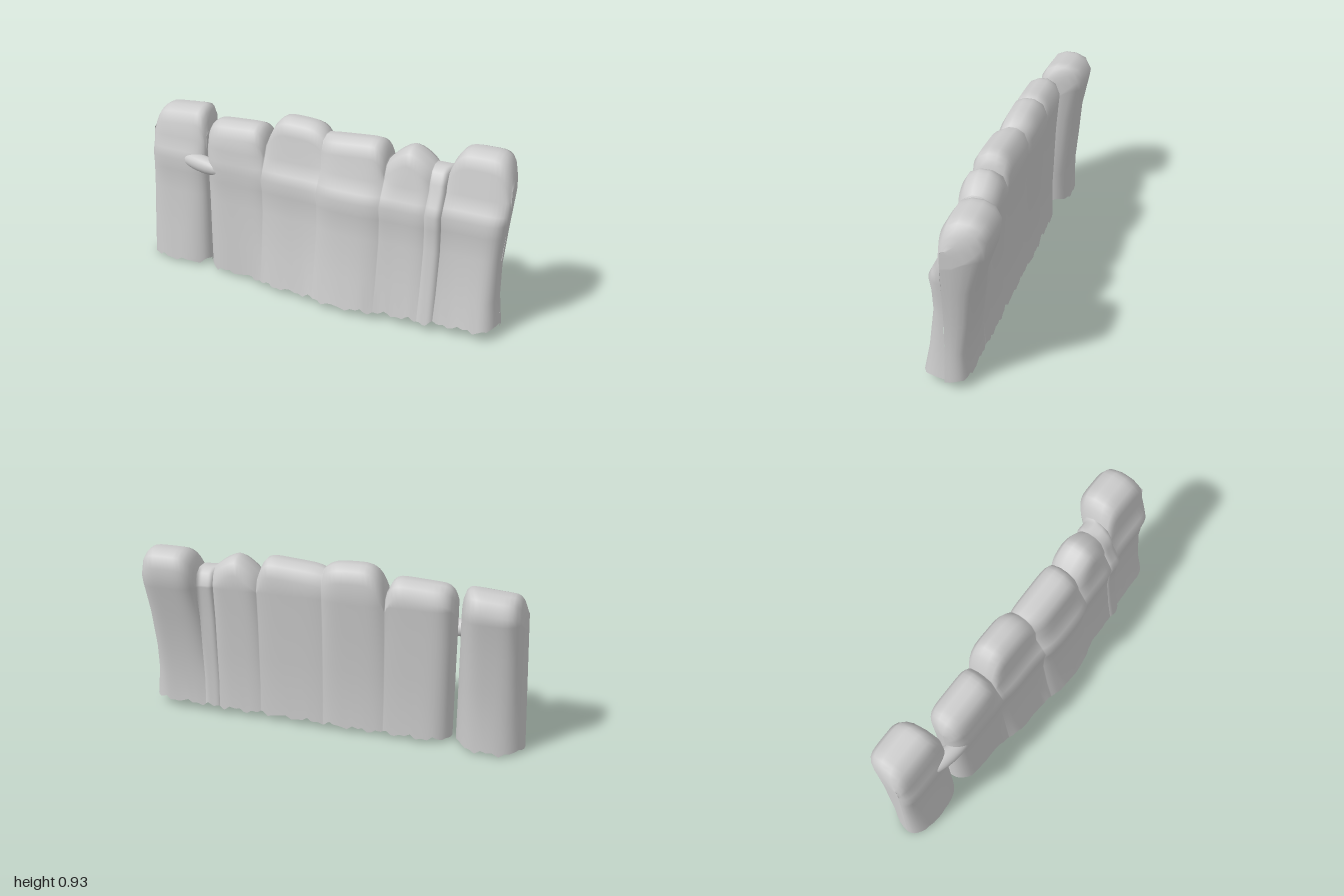
import * as THREE from 'three';

const { lerp, clamp } = THREE.MathUtils;
const material = new THREE.MeshStandardMaterial({ color: 0xcccccc, side: THREE.DoubleSide });

// Each post runs from x0 to x1; its top is peak (tilted by tilt), falling to dipL and dipR at its sides.
// back and front are z near the top, backFoot and foot near the ground; round shapes a free side.
const post = (x0, x1, dipL, peak, dipR, tilt, sharp, back, backFoot, front, foot, round = 4) =>
  ({ x0, x1, dipL, peak, dipR, tilt, sharp, back, backFoot, front, foot, round });

const LONE_POST = [post(-0.995, -0.64, 0.74, 0.872, 0.75, 0.012, 10, -0.2, -0.13, 0.04, 0.1, 2.5)];
const JOINED_POSTS = [
  post(-0.625, -0.28, 0.77, 0.862, 0.79, 0.01, 8, -0.11, -0.085, 0.09, 0.11, 3),
  post(-0.28, 0.04, 0.79, 0.928, 0.88, -0.004, 4, -0.13, -0.09, 0.06, 0.16),
  post(0.04, 0.38, 0.88, 0.9, 0.82, 0.014, 7, -0.11, -0.085, 0.09, 0.2),
  post(0.38, 0.61, 0.82, 0.902, 0.835, 0, 1.5, -0.12, -0.085, 0.08, 0.162),
  post(0.61, 0.69, 0.835, 0.832, 0.83, 0, 4, -0.12, -0.085, 0.07, 0.165),
  post(0.69, 0.995, 0.83, 0.927, 0.78, 0, 5, -0.195, -0.08, 0.035, 0.14),
];

// Ragged lower rim, a little higher towards +x
function rim(x, side) {
  const rag = 0.008 * Math.sin(x * 47 + side * 2) + 0.007 * Math.sin(x * 103 + side);
  return Math.max(0, 0.036 + 0.02 * x + rag);
}

// Outline of one column at u (-1 to 1) across a post, from front rim over the top to back rim
function section(p, u, neighbour) {
  const a = Math.abs(u);
  const x = lerp(p.x0, p.x1, (u + 1) / 2);
  const top = lerp(p.peak + p.tilt * u, u < 0 ? p.dipL : p.dipR, a ** p.sharp);
  // Sides between posts pinch in to a shared groove, deep above and faint below
  const depth = (key, pinch, power) => neighbour
    ? lerp(p[key], pinch * (p[key] + neighbour[key]) / 2, a ** power) : p[key];
  const back = depth('back', 0.86, 5), front = depth('front', 0.82, 5);
  const backFoot = depth('backFoot', 0.92, 4), foot = depth('foot', 0.97, 2.5);
  const rail = lerp(front, foot, 0.5);
  const mid = (back + front) / 2;
  const cap = (y) => Math.min(y, top - 0.09);
  // Free sides round off completely
  const full = (y) => neighbour ? 1
    : Math.sqrt(Math.max(0, 1 - a ** lerp(p.round, 5, clamp(y / 0.7, 0, 1))));
  return [
    [rim(x, 0), foot],
    [0.2, lerp(foot, rail, 0.55)],
    [0.42, rail - 0.006],
    [0.54, rail - 0.004],
    [0.61, rail + 0.006],
    [cap(0.655), lerp(rail, front, 0.3)],
    [cap(0.72), front],
    [top - 0.075, lerp(front, mid, 0.06)],
    [top - 0.022, lerp(front, mid, 0.35)],
    [top, lerp(front, mid, 0.8)],
    [top, lerp(back, mid, 0.7)],
    [top - 0.022, lerp(back, mid, 0.25)],
    [top - 0.08, back],
    [cap(0.74), lerp(back, backFoot, 0.1)],
    [0.56, lerp(back, backFoot, 0.6)],
    [0.36, lerp(back, backFoot, 0.8)],
    [0.2, backFoot],
    [rim(x, 1), backFoot - 0.008],
  ].map(([y, z]) => [x, y, lerp(0.015, z, full(y))]);
}

// Skins a run of posts into one shell, open underneath
function shell(name, posts, lean) {
  const STEPS = 18;
  const columns = [];
  posts.forEach((p, i) => {
    for (let s = i ? 1 : 0; s <= STEPS; s++) {
      const u = Math.sin((s / STEPS - 0.5) * Math.PI);
      columns.push(section(p, u, posts[u < 0 ? i - 1 : i + 1]));
    }
  });
  const n = columns[0].length;
  const positions = columns.flat().flatMap(([x, y, z]) => [x + lean(x, y), y, z]);
  const index = [];
  for (let i = 0; i < columns.length - 1; i++) {
    for (let j = 0; j < n - 1; j++) {
      const a = i * n + j, b = a + n;
      index.push(a, b, a + 1, b, b + 1, a + 1);
    }
  }
  const geometry = new THREE.BufferGeometry();
  geometry.setAttribute('position', new THREE.Float32BufferAttribute(positions, 3));
  geometry.setIndex(index);
  geometry.computeVertexNormals();
  const mesh = new THREE.Mesh(geometry, material);
  mesh.name = name;
  return mesh;
}

export function createModel() {
  const group = new THREE.Group();
  group.name = 'palisade';

  // Separate post, its outer edge tapering upwards
  group.add(shell('lonePost', LONE_POST, (x, y) =>
    -0.005 + 0.045 * y * clamp((-0.7 - x) / 0.28, 0, 1)));

  // Fused posts, slightly waisted at the outer end
  group.add(shell('joinedPosts', JOINED_POSTS, (x, y) =>
    clamp((x - 0.85) / 0.145, 0, 1) * (0.005 - 0.028 * Math.sin(Math.PI * Math.min(1, y / 0.65)))));

  // Stub of rail bridging the gap
  const rail = new THREE.Mesh(new THREE.SphereGeometry(1, 20, 12), material);
  rail.name = 'railBridge';
  rail.scale.set(0.15, 0.045, 0.045);
  rail.position.set(-0.65, 0.605, 0.055);
  rail.rotation.set(0, -0.15, -0.08);
  group.add(rail);

  return group;
}
